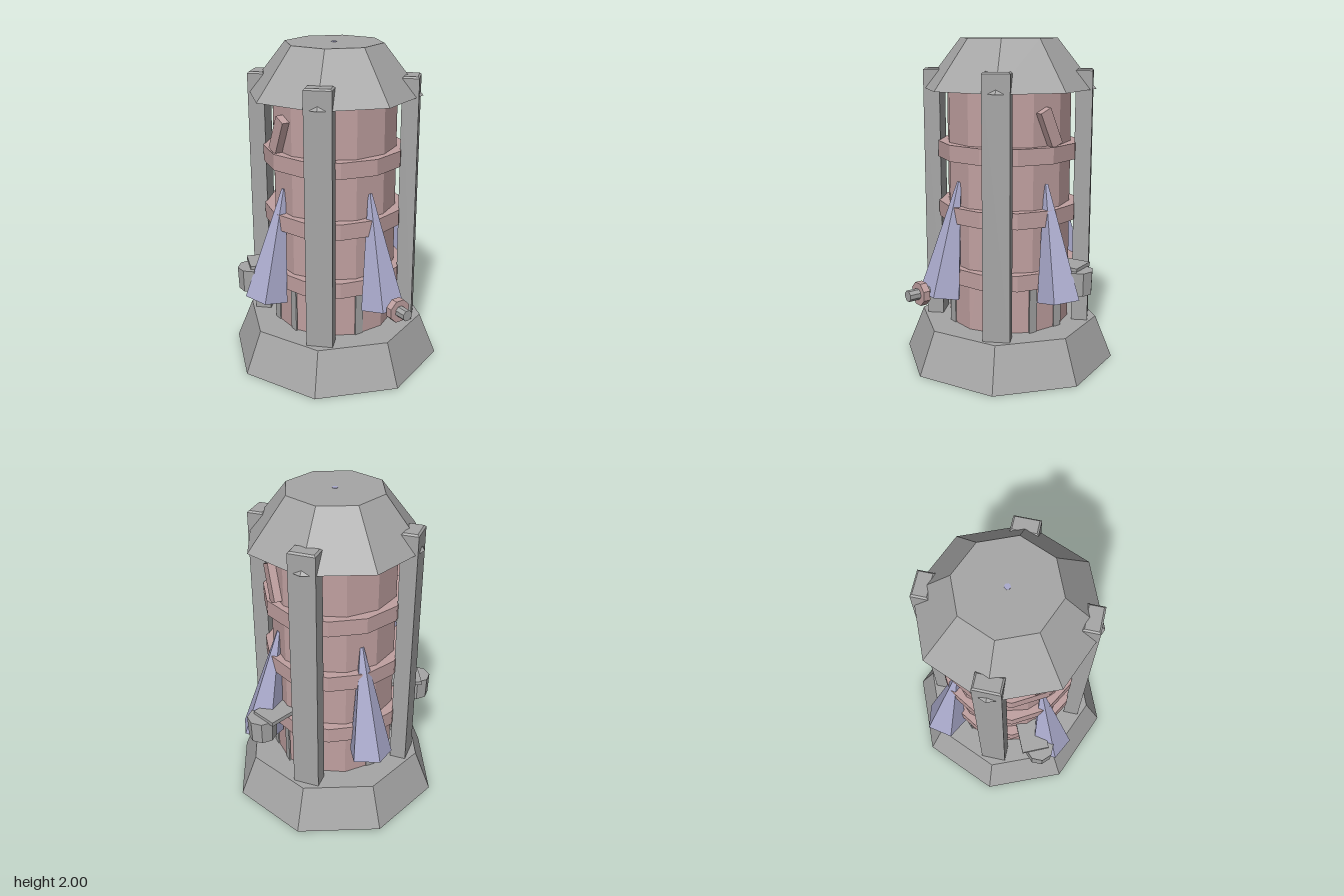
import * as THREE from 'three';

const grey = new THREE.MeshStandardMaterial({ color: 0xa6a6a6 });
const pink = new THREE.MeshStandardMaterial({ color: 0xc0a0a0 });
const lavender = new THREE.MeshStandardMaterial({ color: 0xaaaacc });
grey.name = 'grey metal';
pink.name = 'dusty pink';
lavender.name = 'lavender';

export function createModel() {
  const model = new THREE.Group();
  const body = new THREE.Group(); // everything is laid out around the tower axis
  body.name = 'tower';
  body.position.z = -0.035;
  model.add(body);

  const add = (name, geometry, material, x = 0, y = 0, z = 0, parent = body) => {
    const flat = geometry.index ? geometry.toNonIndexed() : geometry;
    flat.computeVertexNormals();
    const mesh = new THREE.Mesh(flat, material);
    mesh.name = name;
    mesh.position.set(x, y, z);
    parent.add(mesh);
    return mesh;
  };
  // faceted prism standing between two heights
  const prism = (name, rTop, rBottom, y0, y1, sides, material, turn = 0) =>
    add(name, new THREE.CylinderGeometry(rTop, rBottom, y1 - y0, sides, 1, false, turn), material, 0, (y0 + y1) / 2);

  // Base, drum and roof
  prism('base', 0.56, 0.667, 0, 0.265, 8, grey);
  prism('drum', 0.38, 0.38, 0.2, 1.75, 12, pink, Math.PI / 12);
  prism('roof', 0.295, 0.53, 1.7, 1.998, 8, grey);
  prism('roofPin', 0.018, 0.018, 1.98, 2, 8, lavender);

  // Bands around the drum
  for (const y of [0.545, 0.92, 1.29]) prism('band', 0.43, 0.43, y, y + 0.097, 12, pink);

  // Bevelled corner pillars
  const b = 0.01, w = 0.16, d = 0.1, bottom = 0.24, top = 1.82;
  const outline = new THREE.Shape();
  outline.moveTo(-w / 2 + b, -d / 2 + b);
  outline.lineTo(w / 2 - b, -d / 2 + b);
  outline.lineTo(w / 2 - b, d / 2 - b);
  outline.lineTo(-w / 2 + b, d / 2 - b);
  const pillar = new THREE.ExtrudeGeometry(outline, {
    depth: top - bottom - 2 * b, bevelEnabled: true, bevelSegments: 1, bevelSize: b, bevelThickness: b,
  });
  pillar.rotateX(-Math.PI / 2);
  for (let i = 0; i < 4; i++) {
    const a = Math.PI / 4 + i * Math.PI / 2;
    add('pillar', pillar, grey, Math.sin(a) * 0.46, bottom + b, Math.cos(a) * 0.46).rotation.y = a;
  }

  // Five-sided spikes leaning on the drum, all with a corner toward the back
  const tilt = 0.2;
  for (let i = 0; i < 4; i++) {
    const a = i * Math.PI / 2, sx = Math.sin(a), sz = Math.cos(a);
    const spike = new THREE.CylinderGeometry(0.013, 0.134, 0.69, 5, 1, false, Math.PI);
    spike.translate(0, 0.345, 0);
    spike.rotateX(-sz * tilt);
    spike.rotateZ(sx * tilt);
    add('spike', spike, lavender, sx * 0.503, 0.487, sz * 0.503);
  }

  // Front nozzle with its collar
  const nozzle = new THREE.Group();
  nozzle.name = 'nozzle';
  nozzle.position.set(0, 0.525, 0.035);
  body.add(nozzle);
  const tube = new THREE.CylinderGeometry(0.034, 0.034, 0.17, 8, 1, false, Math.PI / 8);
  const collar = new THREE.CylinderGeometry(0.072, 0.072, 0.043, 8, 1, false, Math.PI / 8);
  add('nozzleTube', tube.rotateX(Math.PI / 2), grey, 0, 0, 0.615, nozzle);
  add('nozzleCollar', collar.rotateX(Math.PI / 2), pink, 0, 0, 0.61, nozzle);

  for (const s of [1, -1]) {
    // Side canister hanging from a bracket
    add('canister', new THREE.CylinderGeometry(0.09, 0.085, 0.14, 8, 1, false, Math.PI / 8), grey, s * 0.538, 0.595, -0.11);
    add('bracket', new THREE.BoxGeometry(0.2, 0.026, 0.17), grey, s * 0.45, 0.672, -0.11).rotation.y = s * 0.36;
    // Slanted lever above the top band
    add('lever', new THREE.BoxGeometry(0.06, 0.225, 0.078), pink, s * 0.383, 1.495, 0).rotation.x = 0.42;
    // Side vent strips
    for (const z of [0.095, -0.093]) {
      add('ventStrip', new THREE.BoxGeometry(0.009, 0.3, 0.055), grey, s * 0.369, 0.405, z);
      // Single vent strips at front and back
      if (z > 0) add('ventStrip', new THREE.BoxGeometry(0.055, 0.3, 0.009), grey, -0.075, 0.405, s * 0.369);
    }
  }
  return model;
}
